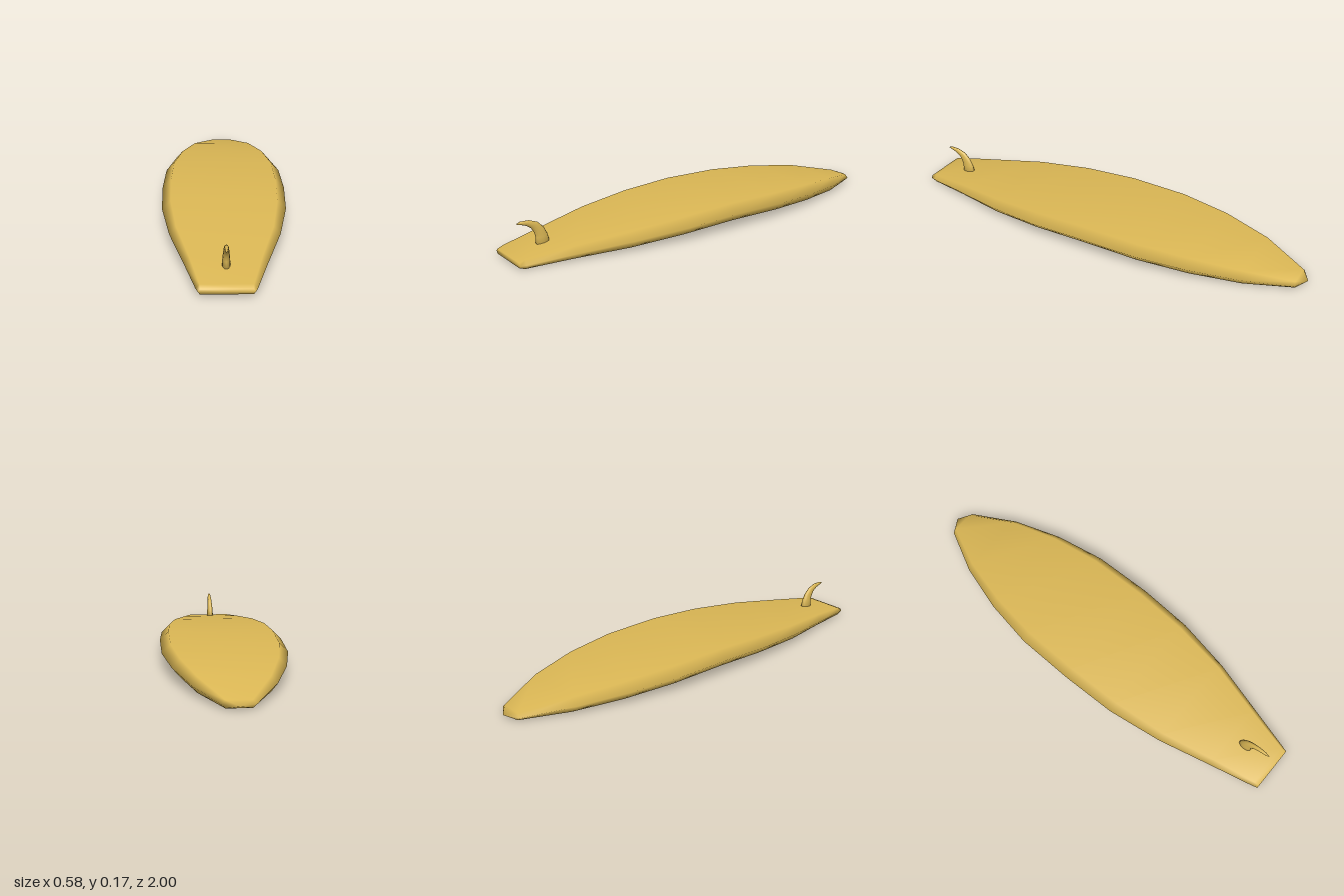
import * as THREE from 'three';

// Skins a row of closed rings (arrays of [x, y, z]) and closes both ends to a point
function loft(rings, start, end) {
  const n = rings[0].length, last = (rings.length - 1) * n;
  const points = [...rings.flat(), start, end];
  const s = points.length - 2, e = points.length - 1;
  const index = [];
  for (let j = 0; j < n; j++) {
    const k = (j + 1) % n;
    for (let i = 0; i < last; i += n) {
      index.push(i + j, i + k, i + n + j, i + k, i + n + k, i + n + j);
    }
    index.push(s, k, j, e, last + j, last + k);
  }
  const geometry = new THREE.BufferGeometry();
  geometry.setAttribute('position', new THREE.Float32BufferAttribute(points.flat(), 3));
  geometry.setIndex(index);
  geometry.computeVertexNormals();
  return geometry;
}

export function createModel() {
  const group = new THREE.Group();
  group.name = 'surfboard';
  const yellow = new THREE.MeshStandardMaterial({ color: 0xdcb855 });
  yellow.name = 'golden yellow';

  // Board stations: z, rail half width, flat half width, low y, high y
  const stations = [
    [-0.96, 0.07, 0.052, 0.005, 0.037],
    [-0.75, 0.175, 0.148, 0.013, 0.079],
    [-0.52, 0.245, 0.21, 0.024, 0.104],
    [-0.28, 0.285, 0.245, 0.034, 0.118],
    [0, 0.291, 0.25, 0.041, 0.124],
    [0.26, 0.281, 0.241, 0.032, 0.113],
    [0.52, 0.238, 0.208, 0.021, 0.093],
    [0.77, 0.172, 0.148, 0.012, 0.067],
    [0.975, 0.119, 0.104, 0.003, 0.042],
    [1, 0.111, 0.102, 0.011, 0.033],
  ];
  const boardRings = stations.map(([z, w, f, lo, hi]) => {
    const mid = (lo + hi) / 2;
    return [[w, mid, z], [f, hi, z], [-f, hi, z], [-w, mid, z], [-f, lo, z], [f, lo, z]];
  });
  const board = new THREE.Mesh(loft(boardRings, [0, 0.022, -1], [0, 0.022, 1]), yellow);
  board.name = 'board';
  group.add(board);

  // Swept fin sections: leading z, y, trailing z, y, half thickness
  const sections = [
    [0.803, 0.05, 0.87, 0.045, 0.017],
    [0.811, 0.09, 0.869, 0.085, 0.0155],
    [0.828, 0.125, 0.874, 0.108, 0.013],
    [0.855, 0.153, 0.888, 0.132, 0.0105],
    [0.895, 0.169, 0.912, 0.148, 0.0085],
    [0.935, 0.171, 0.938, 0.157, 0.006],
  ];
  const finRings = sections.map(([lz, ly, tz, ty, w]) => Array.from({ length: 12 }, (_, j) => {
    const a = j / 12 * Math.PI * 2, t = (1 + Math.cos(a)) / 2;
    return [w * Math.sin(a), ly + (ty - ly) * t, lz + (tz - lz) * t];
  }));
  const fin = new THREE.Mesh(loft(finRings, [0, 0.047, 0.837], [0, 0.163, 0.957]), yellow);
  fin.name = 'fin';
  group.add(fin);

  return group;
}
